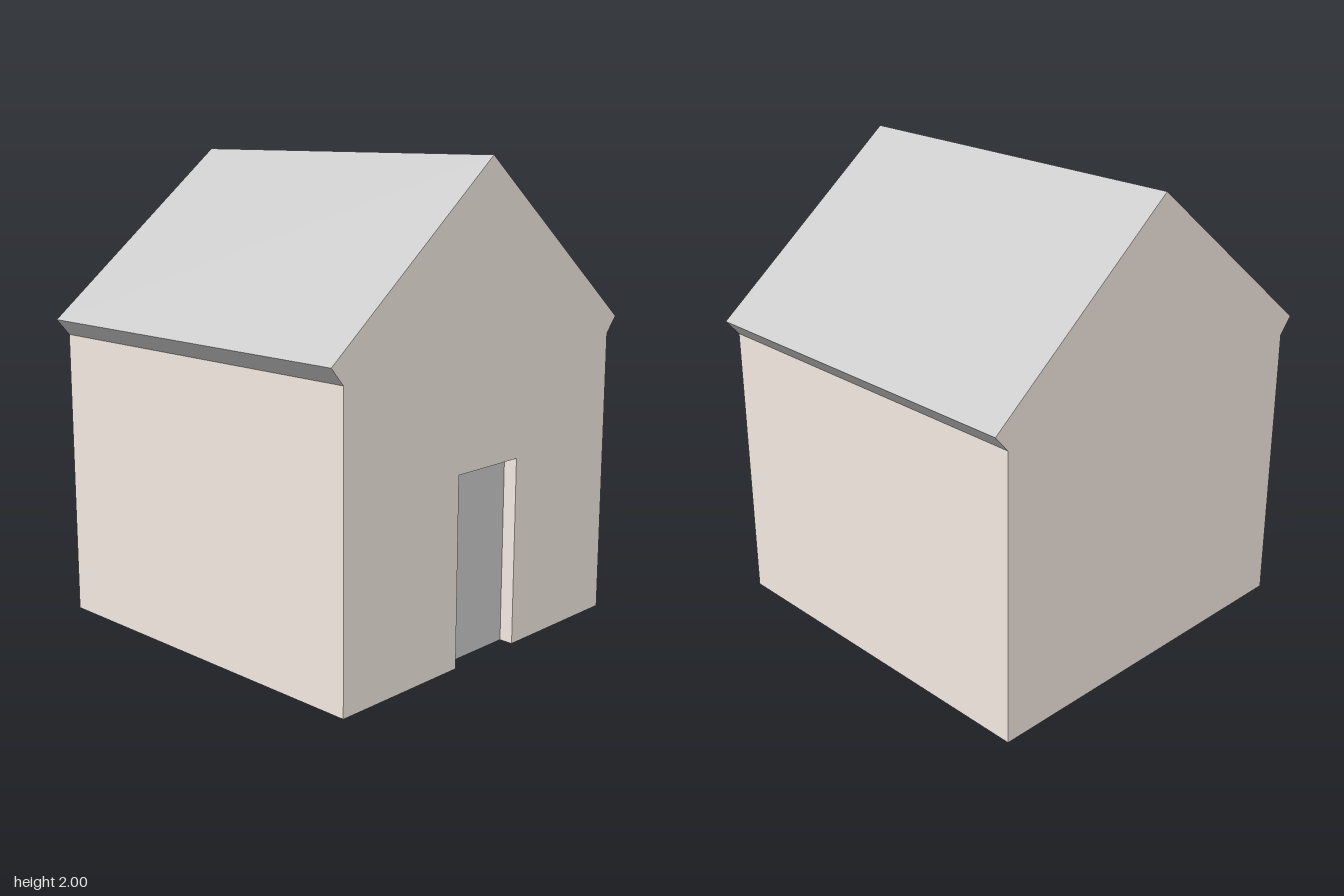
import * as THREE from 'three';

const DEPTH = 0.815;   // half length of the house along z
const WALL = 0.813;    // half width of the walls
const RECESS = DEPTH - 0.06;
const door = { left: -0.175, right: 0.19, top: 0.79 };

const wallMaterial = new THREE.MeshStandardMaterial({ color: 0xf5ebe2 });
const greyMaterial = new THREE.MeshStandardMaterial({ color: 0xcccccc });

// Flat-shaded band swept along z from an open, counter-clockwise outline
function band(points, z0, z1) {
  const positions = [];
  for (let i = 0; i + 1 < points.length; i++) {
    const [ax, ay] = points[i];
    const [bx, by] = points[i + 1];
    positions.push(ax, ay, z1, ax, ay, z0, bx, by, z0);
    positions.push(ax, ay, z1, bx, by, z0, bx, by, z1);
  }
  const geometry = new THREE.BufferGeometry();
  geometry.setAttribute('position', new THREE.Float32BufferAttribute(positions, 3));
  geometry.computeVertexNormals();
  return geometry;
}

function panel(points) {
  return new THREE.ShapeGeometry(new THREE.Shape(points.map(([x, y]) => new THREE.Vector2(x, y))));
}

export function createModel() {
  const house = new THREE.Group();
  house.name = 'house';

  function add(name, geometry, material) {
    const mesh = new THREE.Mesh(geometry, material);
    mesh.name = name;
    house.add(mesh);
    return mesh;
  }

  const roofLine = [[WALL, 1.23], [0.873, 1.3], [0, 2], [-0.873, 1.3], [-WALL, 1.23]];
  const opening = [[door.left, 0], [door.left, door.top], [door.right, door.top], [door.right, 0]];

  // Gable walls, the front one cut out for the doorway
  add('frontWall', panel([[-WALL, 0], ...opening, [WALL, 0], ...roofLine]), wallMaterial)
    .position.z = DEPTH;
  const back = add('backWall', panel([[-WALL, 0], [WALL, 0], ...roofLine]), wallMaterial);
  back.position.z = -DEPTH;
  back.rotation.y = Math.PI;

  // Side walls
  add('leftWall', band([[WALL, 0], [WALL, 1.23]], -DEPTH, DEPTH), wallMaterial);
  add('rightWall', band([[-WALL, 1.23], [-WALL, 0]], -DEPTH, DEPTH), wallMaterial);

  // Roof slopes with the slanted undersides of the eaves
  add('roof', band(roofLine, -DEPTH, DEPTH), greyMaterial);

  // Recessed door and its frame
  add('doorFrame', band(opening, RECESS, DEPTH), wallMaterial);
  add('door', panel([...opening].reverse()), greyMaterial).position.z = RECESS;

  // Underside, notched at the doorway
  const floor = panel([
    [-WALL, -DEPTH], [WALL, -DEPTH], [WALL, DEPTH], [door.right, DEPTH],
    [door.right, RECESS], [door.left, RECESS], [door.left, DEPTH], [-WALL, DEPTH],
  ]);
  add('floor', floor.rotateX(Math.PI / 2), wallMaterial);

  return house;
}
